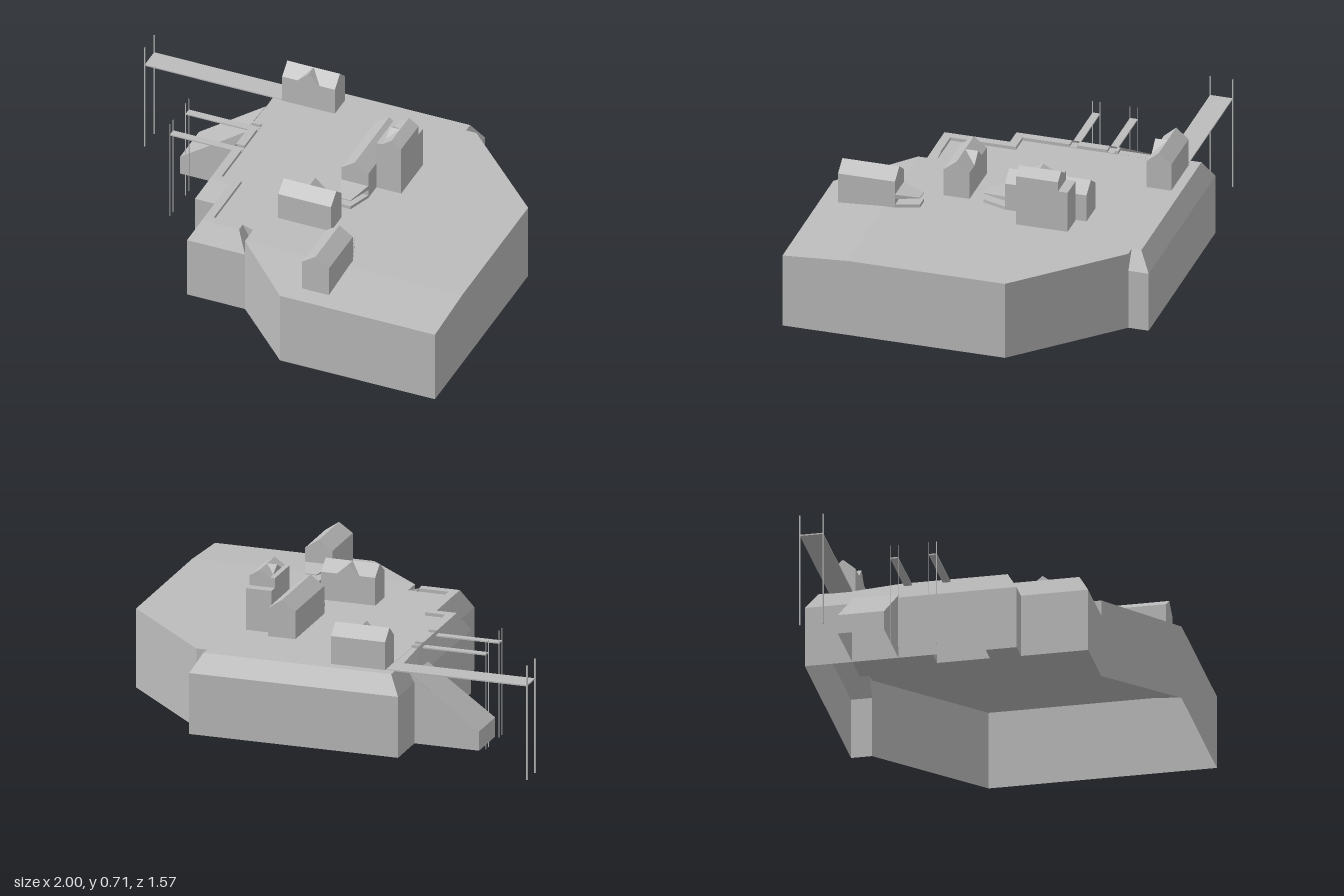
import * as THREE from 'three';

const stone = new THREE.MeshStandardMaterial({ color: 0xbcbcbc, side: THREE.DoubleSide });
stone.name = 'plain grey';

const BASE = 0.07, DECK = 0.44, KERB = 0.455, FRONT = 0.42;

// Mesh from flat polygons (each a fan of corner points)
function faces(name, polys) {
  const pos = [];
  for (const p of polys)
    for (let i = 1; i < p.length - 1; i++) pos.push(...p[0], ...p[i], ...p[i + 1]);
  const g = new THREE.BufferGeometry();
  g.setAttribute('position', new THREE.Float32BufferAttribute(pos, 3));
  g.computeVertexNormals();
  const m = new THREE.Mesh(g, stone);
  m.name = name;
  return m;
}

// Box given by its limits
function box(name, x0, x1, y0, y1, z0, z1) {
  const m = new THREE.Mesh(new THREE.BoxGeometry(x1 - x0, y1 - y0, z1 - z0), stone);
  m.position.set((x0 + x1) / 2, (y0 + y1) / 2, (z0 + z1) / 2);
  m.name = name;
  return m;
}

// Gabled house, ridge along local z, optional dormer on local +x, open below
function house(name, x, z, w, len, base, eave, ridge, dormer = 0, turn = 0) {
  const h = w / 2, l = len / 2, d = dormer;
  const polys = [
    [[-h, base, l], [h, base, l], [h, eave, l], [0, ridge, l], [-h, eave, l]],
    [[h, base, -l], [-h, base, -l], [-h, eave, -l], [0, ridge, -l], [h, eave, -l]],
    [[h, base, l], [h, base, -l], [h, eave, -l], [h, eave, l]],
    [[-h, base, -l], [-h, base, l], [-h, eave, l], [-h, eave, -l]],
    [[-h, eave, -l], [-h, eave, l], [0, ridge, l], [0, ridge, -l]],
  ];
  if (d) polys.push(
    [[h, eave, l], [h, eave, d], [0, ridge, 0], [0, ridge, l]],
    [[h, eave, -d], [h, eave, -l], [0, ridge, -l], [0, ridge, 0]],
    [[h, eave, d], [h, eave, -d], [h, ridge, 0]],
    [[h, eave, d], [h, ridge, 0], [0, ridge, 0]],
    [[h, ridge, 0], [h, eave, -d], [0, ridge, 0]]);
  else polys.push([[h, eave, l], [h, eave, -l], [0, ridge, -l], [0, ridge, l]]);
  const m = faces(name, polys);
  m.position.set(x, 0, z);
  m.rotation.y = turn;
  return m;
}

// Tapered slab running from a wall towards local +z
function taperedSlab(name, w, tip, len, y0, yWall, yTip) {
  const a = w / 2, b = tip / 2;
  return faces(name, [
    [[-a, yWall, 0], [-b, yTip, len], [b, yTip, len], [a, yWall, 0]],
    [[-a, y0, 0], [a, y0, 0], [b, y0, len], [-b, y0, len]],
    [[-b, y0, len], [b, y0, len], [b, yTip, len], [-b, yTip, len]],
    [[b, y0, len], [a, y0, 0], [a, yWall, 0], [b, yTip, len]],
    [[-a, y0, 0], [-b, y0, len], [-b, yTip, len], [-a, yWall, 0]],
  ]);
}

function porch(x, z, len, turn) {
  const g = new THREE.Group();
  g.name = 'porch';
  g.add(taperedSlab('porchRoof', 0.13, 0.055, len, 0.484, 0.505, 0.488),
    taperedSlab('porchFloor', 0.13, 0.055, len, DECK, KERB, KERB));
  g.position.set(x, 0, z);
  g.rotation.y = turn;
  return g;
}

function addIsland(root) {
  // Bevelled edge: outer x, z, inner x, z, outer y, inner y
  const rim = [
    [-0.05, 0.39, -0.10, 0.39, 0.365, KERB], [-0.05, 0.48, -0.10, 0.43, 0.365, KERB],
    [-0.33, 0.48, -0.28, 0.43, 0.365, KERB], [-0.33, 0.175, -0.28, 0.125, 0.365, KERB],
    [-0.425, 0.175, -0.375, 0.125, 0.365, KERB], [-0.425, -0.36, -0.375, -0.36, 0.365, KERB],
    [-0.425, -0.57, -0.375, -0.57, 0.355, DECK], [-0.425, -0.785, -0.375, -0.735, 0.355, DECK],
    [0.56, -0.785, 0.51, -0.735, 0.355, DECK], [0.56, -0.69, 0.51, -0.69, 0.355, DECK],
  ];
  const out = r => [r[0], r[4], r[1]], inn = r => [r[2], r[5], r[3]];
  const bevel = [];
  for (let i = 0; i < rim.length - 1; i++)
    bevel.push([out(rim[i + 1]), out(rim[i]), inn(rim[i]), inn(rim[i + 1])]);
  root.add(faces('bevelledEdge', bevel));

  // Outer wall, open below
  const loop = [...rim.slice(1).map(out), [0.56, DECK, -0.69], [1, DECK, -0.255],
    [1, DECK, 0.48], [1, FRONT, 0.78], [0.25, FRONT, 0.78], [-0.05, DECK, 0.48]];
  const low = p => [p[0], BASE, p[2]];
  const walls = [];
  loop.forEach((a, i) => {
    const b = loop[(i + 1) % loop.length];
    if (a[0] !== b[0] || a[2] !== b[2]) walls.push([low(b), low(a), a, b]);
  });
  // Small step faces where the bevel ends
  walls.push(
    [[0.56, 0.355, -0.69], [0.51, DECK, -0.69], [0.56, DECK, -0.69]],
    [[-0.05, 0.365, 0.39], [-0.05, 0.365, 0.48], [-0.05, DECK, 0.48], [-0.05, DECK, 0.39]],
    [[-0.05, 0.365, 0.39], [-0.05, DECK, 0.39], [-0.10, KERB, 0.39]]);
  root.add(faces('outerWall', walls));

  // Flat ground, open under the houses
  const pt = ([x, z]) => new THREE.Vector2(x, -z);
  const ground = new THREE.Shape([[1, -0.255], [0.56, -0.69], [0.51, -0.69], [0.51, -0.735],
    [-0.375, -0.735], [-0.375, 0.125], [-0.28, 0.125], [-0.28, 0.43], [-0.10, 0.43],
    [-0.10, 0.39], [-0.05, 0.39], [-0.05, 0.48], [0.32, 0.48], [0.32, 0.43], [0.45, 0.43],
    [0.45, 0.48], [1, 0.48]].map(pt));
  for (const [x0, x1, z0, z1] of [[-0.33, -0.075, -0.69, -0.575], [0.015, 0.27, 0.14, 0.26],
    [0.19, 0.32, -0.42, -0.04], [0.322, 0.44, -0.37, -0.13]])
    ground.holes.push(new THREE.Path([[x0, z0], [x1, z0], [x1, z1], [x0, z1]].map(pt)));
  const floor = new THREE.Mesh(new THREE.ShapeGeometry(ground).rotateX(-Math.PI / 2), stone);
  floor.position.y = DECK;
  floor.name = 'ground';
  root.add(floor);

  // Gently sloping front ground
  const s = (x, z) => [x, DECK - (z - 0.48) / 15, z];
  root.add(faces('frontSlope', [
    [s(-0.05, 0.48), s(0.165, 0.695), s(0.32, 0.695), s(0.32, 0.48)],
    [s(0.45, 0.48), s(0.45, 0.695), s(1, 0.695), s(1, 0.48)],
    [s(0.165, 0.695), s(0.25, 0.78), s(1, 0.78), s(1, 0.695)],
  ]));

  // Raised kerb along the quay
  for (const [x0, x1, z0, z1] of [[-0.375, -0.335, -0.36, -0.345], [-0.375, -0.335, -0.31, -0.17],
    [-0.375, -0.335, -0.135, 0.125], [-0.335, -0.24, 0.085, 0.125],
    [-0.28, -0.24, 0.125, 0.43], [-0.24, -0.10, 0.39, 0.43]])
    root.add(box('kerb', x0, x1, DECK - 0.005, KERB, z0, z1));

  // Slipway, open below
  const a = -0.73, b = -0.335, n = -0.36, f = -0.57, lo = 0.16;
  root.add(faces('slipway', [
    [[a, lo, f], [a, lo, n], [b, DECK + 0.001, n], [b, DECK + 0.001, f]],
    [[a, BASE, f], [a, BASE, n], [a, lo, n], [a, lo, f]],
    [[a, BASE, n], [-0.425, BASE, n], [b, DECK, n], [a, lo, n]],
    [[-0.425, BASE, f], [a, BASE, f], [a, lo, f], [b, DECK, f]],
  ]));
}

function addPier(root, x, z0, z1, postTop, r) {
  root.add(box('pierDeck', x, -0.335, DECK - 0.003, DECK + 0.003, z0, z1));
  for (const z of [z0, z1]) root.add(box('pierPost', x - r, x + r, 0, postTop, z - r, z + r));
}

export function createModel() {
  const root = new THREE.Group();
  root.name = 'harbourIsland';
  addIsland(root);

  addPier(root, -0.997, -0.685, -0.58, 0.535, 0.003);
  addPier(root, -0.68, -0.343, -0.307, 0.5, 0.0015);
  addPier(root, -0.68, -0.168, -0.133, 0.5, 0.0015);

  root.add(
    house('backHouse', -0.2025, -0.6325, 0.115, 0.255, DECK, 0.57, 0.62, 0.053, -Math.PI / 2),
    house('middleHouse', 0.1425, 0.2, 0.12, 0.255, DECK, 0.57, 0.617, 0.053, Math.PI / 2),
    house('frontHouse', 0.385, 0.5625, 0.13, 0.265, 0.425, 0.57, 0.615),
    house('longHouse', 0.255, -0.23, 0.13, 0.38, DECK, 0.57, 0.615),
    porch(0.385, 0.43, 0.105, Math.PI),
    porch(0.255, -0.04, 0.11, 0));

  // Tower: open-bottomed stepped body with a gabled top
  const x0 = 0.321, x1 = 0.44, zb = -0.37, zm = -0.325, zf = -0.13, t = 0.635, u = 0.68;
  root.add(faces('towerBody', [
    [[x0, DECK, zf], [x1, DECK, zf], [x1, u, zf], [x0, u, zf]],
    [[x1, DECK, zf], [x1, DECK, zb], [x1, t, zb], [x1, t, zf]],
    [[x1, t, zf], [x1, t, zm], [x1, u, zm], [x1, u, zf]],
    [[x0, DECK, zb], [x0, DECK, zf], [x0, t, zf], [x0, t, zb]],
    [[x0, t, zm], [x0, t, zf], [x0, u, zf], [x0, u, zm]],
    [[x1, DECK, zb], [x0, DECK, zb], [x0, t, zb], [x1, t, zb]],
    [[x0, t, zm], [x1, t, zm], [x1, t, zb], [x0, t, zb]],
    [[x1, t, zm], [x0, t, zm], [x0, u, zm], [x1, u, zm]],
    [[x0, u, zf], [0.345, u, zf], [0.345, u, zm], [x0, u, zm]],
  ]));
  root.add(house('towerRoof', 0.3925, -0.2275, 0.095, 0.195, u, u + 0.0005, 0.712, 0.053, Math.PI));
  return root;
}
